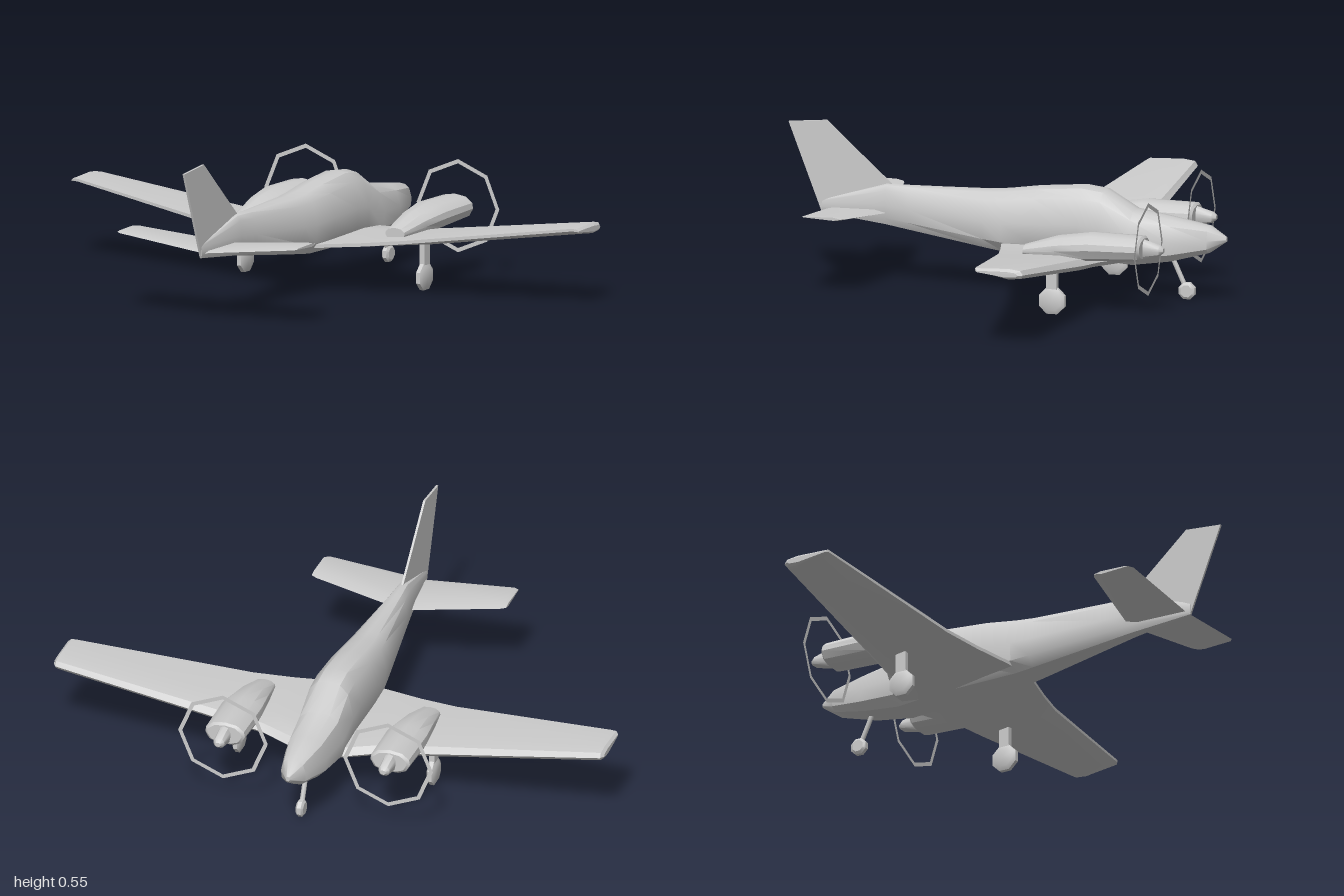
import * as THREE from 'three';
import { toCreasedNormals } from 'three/addons/utils/BufferGeometryUtils.js';

const material = new THREE.MeshStandardMaterial({ color: 0xcccccc });
const thinMaterial = new THREE.MeshStandardMaterial({ color: 0xcccccc, side: THREE.DoubleSide });

function addMesh(parent, name, geometry, x = 0, y = 0, z = 0, mat = material) {
  const mesh = new THREE.Mesh(geometry, mat);
  mesh.name = name;
  mesh.position.set(x, y, z);
  parent.add(mesh);
  return mesh;
}

// Skin over closed rings of [x, y, z] points, with flat ends.
function loft(rings, crease = 0.6) {
  const n = rings[0].length;
  const index = [];
  for (let i = 0; i < rings.length - 1; i++) {
    for (let j = 0; j < n; j++) {
      const a = i * n + j, b = i * n + (j + 1) % n;
      index.push(a, a + n, b, b, a + n, b + n);
    }
  }
  const last = (rings.length - 1) * n;
  for (let j = 1; j < n - 1; j++) {
    index.push(0, j, j + 1, last, last + j + 1, last + j);
  }
  const geometry = new THREE.BufferGeometry();
  geometry.setAttribute('position', new THREE.Float32BufferAttribute(rings.flat(2), 3));
  geometry.setIndex(index);
  return toCreasedNormals(geometry, crease);
}

// Symmetric body ring; half holds [width, height] fractions from top to bottom.
function bodyRing(half, z, bottom, top, width) {
  const side = half.map(([w, h]) => [w * width, bottom + h * (top - bottom), z]);
  const mirrored = side.slice(1, -1).reverse().map(([x, y]) => [-x, y, z]);
  return [...side, ...mirrored];
}

// Full-span surface from half stations [x, leading z, trailing z, bottom, top].
function span(stations, section) {
  const left = stations.filter(s => s[0] > 0).map(s => [-s[0], ...s.slice(1)]).reverse();
  return loft([...left, ...stations].map(([x, lead, trail, bottom, top]) =>
    section.map(([c, h]) => [x, bottom + h * (top - bottom), lead + c * (trail - lead)])));
}

export function createModel() {
  const plane = new THREE.Group();
  plane.name = 'twinEngineAeroplane';

  // Fuselage stations: z, bottom, top, half width
  const hull = [[0, 1], [0.45, 0.97], [0.78, 0.85], [1, 0.5], [0.95, 0.2], [0.6, 0.03], [0, 0]];
  addMesh(plane, 'fuselage', loft([
    [-0.79, 0.215, 0.232, 0.007],
    [-0.73, 0.173, 0.268, 0.045],
    [-0.6, 0.138, 0.29, 0.075],
    [-0.463, 0.118, 0.312, 0.089],
    [-0.355, 0.125, 0.376, 0.09],
    [-0.277, 0.13, 0.386, 0.09],
    [-0.116, 0.132, 0.372, 0.09],
    [0, 0.135, 0.355, 0.085],
    [0.07, 0.145, 0.349, 0.077],
    [0.35, 0.187, 0.344, 0.042],
    [0.435, 0.2, 0.345, 0.032],
    [0.67, 0.228, 0.275, 0.005],
  ].map(s => bodyRing(hull, ...s))));

  // Wing with dihedral and rounded tips
  addMesh(plane, 'wing', span([
    [0, -0.49, 0.01, 0.125, 0.18],
    [0.09, -0.46, -0.005, 0.13, 0.183],
    [0.23, -0.403, -0.046, 0.14, 0.193],
    [0.37, -0.393, -0.083, 0.155, 0.207],
    [0.97, -0.373, -0.195, 0.244, 0.284],
    [0.99, -0.37, -0.197, 0.247, 0.284],
    [1, -0.355, -0.205, 0.255, 0.275],
  ], [[1, 0.65], [1, 0.88], [0.3, 1], [0.06, 0.85], [0, 0.45], [0.06, 0.12], [0.3, 0]]));

  // Tailplane
  addMesh(plane, 'tailplane', span([
    [0, 0.425, 0.652, 0.233, 0.252],
    [0.335, 0.48, 0.637, 0.272, 0.288],
    [0.353, 0.49, 0.625, 0.276, 0.287],
  ], [[1, 0.5], [0.9, 0.8], [0.2, 1], [0, 0.5], [0.2, 0]]));

  // Fin, drawn in z and y and extruded across x
  const finShape = new THREE.Shape([
    [-0.42, 0.28], [-0.42, 0.345], [-0.505, 0.42], [-0.653, 0.553], [-0.79, 0.541], [-0.67, 0.23],
  ].map(p => new THREE.Vector2(...p)));
  const fin = new THREE.ExtrudeGeometry(finShape, { depth: 0.008, bevelEnabled: false });
  fin.translate(0, 0, -0.004).rotateY(Math.PI / 2);
  addMesh(plane, 'fin', fin);

  // Engines and main wheels, one set per side
  const nacelle = [[0, 1], [0.6, 0.92], [0.95, 0.68], [1, 0.45], [0.8, 0.14], [0.4, 0], [0, 0]];
  for (const side of [1, -1]) {
    const engine = new THREE.Group();
    engine.name = side > 0 ? 'leftEngine' : 'rightEngine';
    engine.position.x = side * 0.3;
    plane.add(engine);

    addMesh(engine, 'nacelle', loft([
      [-0.588, 0.205, 0.273, 0.062],
      [-0.58, 0.197, 0.281, 0.072],
      [-0.4, 0.188, 0.284, 0.074],
      [-0.28, 0.18, 0.266, 0.058],
      [-0.16, 0.185, 0.228, 0.038],
    ].map(s => bodyRing(nacelle, ...s))));

    // Spinner, taller than wide at its base
    addMesh(engine, 'spinner', loft([
      [-0.658, 0.226, 0.242, 0.01],
      [-0.645, 0.216, 0.253, 0.02],
      [-0.58, 0.2, 0.272, 0.023],
    ].map(s => bodyRing(nacelle, ...s))));

    addMesh(engine, 'propellerRing', new THREE.RingGeometry(0.148, 0.163, 8), 0, 0.235, -0.602, thinMaterial);

    const gear = new THREE.Group();
    gear.name = side > 0 ? 'leftMainGear' : 'rightMainGear';
    gear.position.set(side * 0.353, 0, -0.273);
    plane.add(gear);
    addMesh(gear, 'strut', new THREE.BoxGeometry(0.02, 0.12, 0.038), 0, 0.115, 0);
    addWheel(gear, 0.046, 0.03);
  }

  // Nose gear with raked strut
  const noseGear = new THREE.Group();
  noseGear.name = 'noseGear';
  noseGear.position.z = -0.647;
  plane.add(noseGear);
  const strut = addMesh(noseGear, 'strut', new THREE.CylinderGeometry(0.009, 0.009, 0.13, 6), 0, 0.095, 0.028);
  strut.rotation.x = 0.43;
  addWheel(noseGear, 0.029, 0.028, 0.035);

  return plane;
}

// Octagonal wheel with bevelled rims, axle along x
function addWheel(parent, radius, width, y = radius) {
  const r = radius / Math.cos(Math.PI / 8), w = width / 2;
  const profile = [[0, -w], [r * 0.7, -w], [r, -w * 0.5], [r, w * 0.5], [r * 0.7, w], [0, w]];
  const wheel = new THREE.LatheGeometry(profile.map(p => new THREE.Vector2(...p)), 8);
  wheel.rotateY(Math.PI / 8).rotateZ(Math.PI / 2);
  addMesh(parent, 'wheel', toCreasedNormals(wheel, 0.5), 0, y, 0);
}
